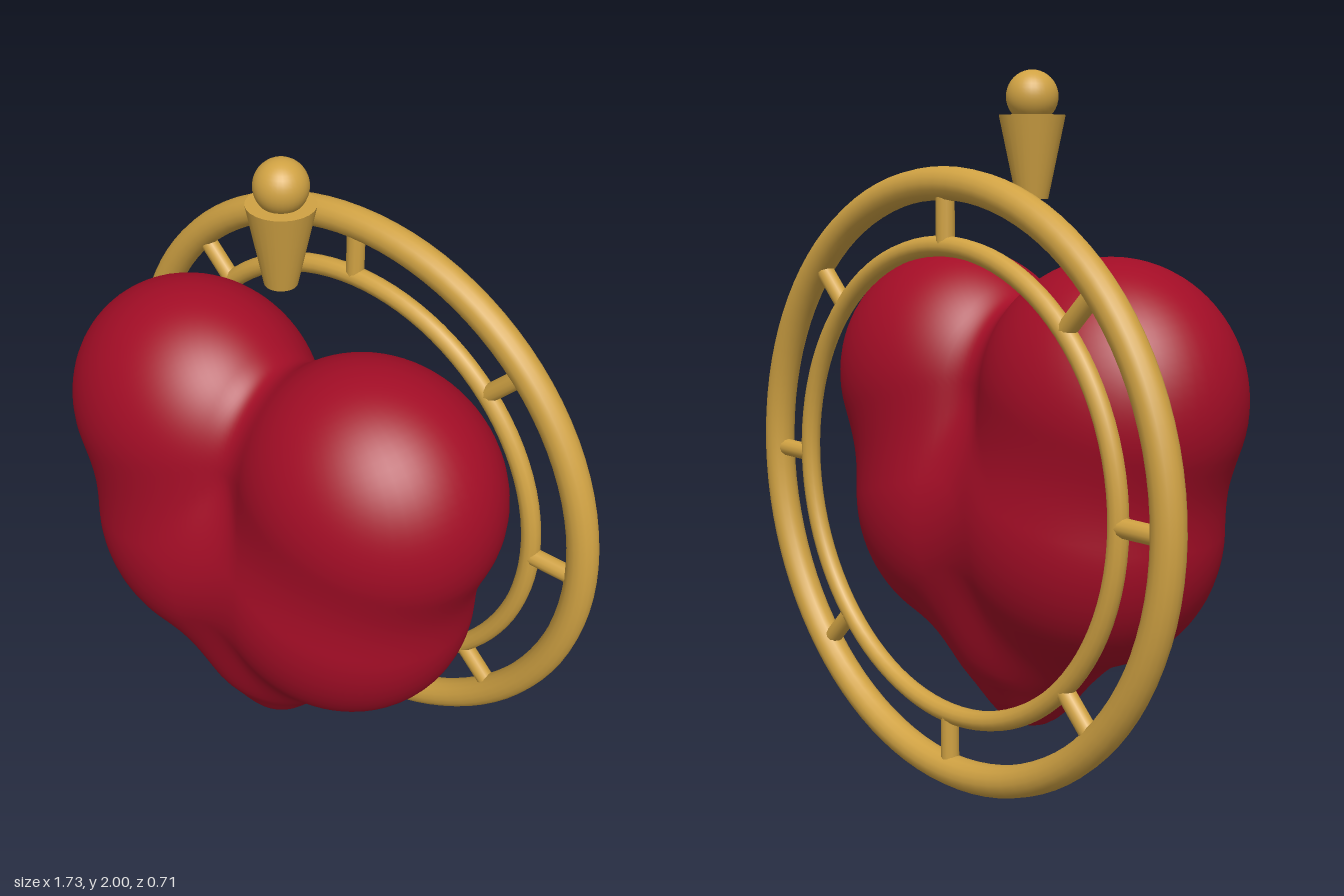
import * as THREE from 'three';

// Rounded masses of the heart: centre (x mirrored), radii
const BLOBS = [
  { c: [0.32, 1.12, 0], r: [0.39, 0.38, 0.34] },  // upper lobes
  { c: [0.22, 0.76, 0], r: [0.41, 0.41, 0.355] }, // middle lobes
  { c: [0, 0.46, 0], r: [0.28, 0.28, 0.25] },     // lower mass
  { c: [0, 0.22, 0], r: [0.11, 0.11, 0.11] },     // tip
];
const BALLS = BLOBS.flatMap(({ c, r }) =>
  c[0] === 0 ? [{ c, r }] : [{ c, r }, { c: [-c[0], c[1], c[2]], r }]);

function smoothMin(a, b, k) {
  const h = Math.max(k - Math.abs(a - b), 0) / k;
  return Math.min(a, b) - h * h * k * 0.25;
}

function heartDistance(x, y, z) {
  let d = 10;
  for (const { c, r } of BALLS) {
    const px = (x - c[0]) / r[0], py = (y - c[1]) / r[1], pz = (z - c[2]) / r[2];
    const k0 = Math.hypot(px, py, pz);
    const k1 = Math.hypot(px / r[0], py / r[1], pz / r[2]) || 1;
    d = smoothMin(d, (k0 * (k0 - 1)) / k1, 0.1);
  }
  return d;
}

// Sphere whose vertices are pulled in to the blended surface
function heartGeometry() {
  const centreY = 0.85;
  const geo = new THREE.SphereGeometry(1, 112, 80);
  const pos = geo.attributes.position;
  const nor = geo.attributes.normal;
  const v = new THREE.Vector3();
  for (let i = 0; i < pos.count; i++) {
    v.fromBufferAttribute(pos, i).normalize();
    const dist = (t) => heartDistance(v.x * t, centreY + v.y * t, v.z * t);
    let outer = 1.1;
    while (outer > 0.05 && dist(outer) > 0) outer -= 0.015;
    let lo = outer, hi = outer + 0.015;
    for (let s = 0; s < 10; s++) {
      const mid = (lo + hi) / 2;
      if (dist(mid) > 0) hi = mid; else lo = mid;
    }
    const x = v.x * lo, y = centreY + v.y * lo, z = v.z * lo, e = 0.004;
    pos.setXYZ(i, x, y, z);
    // normal from the slope of the blended surface
    v.set(
      heartDistance(x + e, y, z) - heartDistance(x - e, y, z),
      heartDistance(x, y + e, z) - heartDistance(x, y - e, z),
      heartDistance(x, y, z + e) - heartDistance(x, y, z - e)).normalize();
    nor.setXYZ(i, v.x, v.y, v.z);
  }
  return geo;
}

export function createModel() {
  const model = new THREE.Group();
  model.name = 'heartOrnament';
  const red = new THREE.MeshStandardMaterial({ color: 0xa30d26 });
  red.name = 'heart red';
  const gold = new THREE.MeshStandardMaterial({ color: 0xd0a243 });
  gold.name = 'gold';

  const add = (parent, name, geo, mat, x = 0, y = 0, z = 0) => {
    const mesh = new THREE.Mesh(geo, mat);
    mesh.name = name;
    mesh.position.set(x, y, z);
    parent.add(mesh);
    return mesh;
  };

  add(model, 'heart', heartGeometry(), red);

  // Double ring with eight spokes behind the heart
  const frame = new THREE.Group();
  frame.name = 'ringFrame';
  frame.position.set(0, 0.872, -0.315);
  model.add(frame);
  add(frame, 'outerRing', new THREE.TorusGeometry(0.822, 0.045, 16, 96), gold);
  add(frame, 'innerRing', new THREE.TorusGeometry(0.655, 0.028, 12, 96), gold);
  const spokeGeo = new THREE.CylinderGeometry(0.026, 0.026, 0.15, 12);
  for (let i = 0; i < 8; i++) {
    const a = (i * Math.PI) / 4;
    const spoke = add(frame, 'spoke', spokeGeo, gold, Math.cos(a) * 0.735, Math.sin(a) * 0.735, 0);
    spoke.rotation.z = a - Math.PI / 2;
  }

  // Tapered finial with a ball on top
  add(model, 'finialCone', new THREE.CylinderGeometry(0.093, 0.045, 0.23, 24), gold, 0, 1.762, 0);
  add(model, 'finialBall', new THREE.SphereGeometry(0.073, 32, 20), gold, 0, 1.927, 0);
  return model;
}
